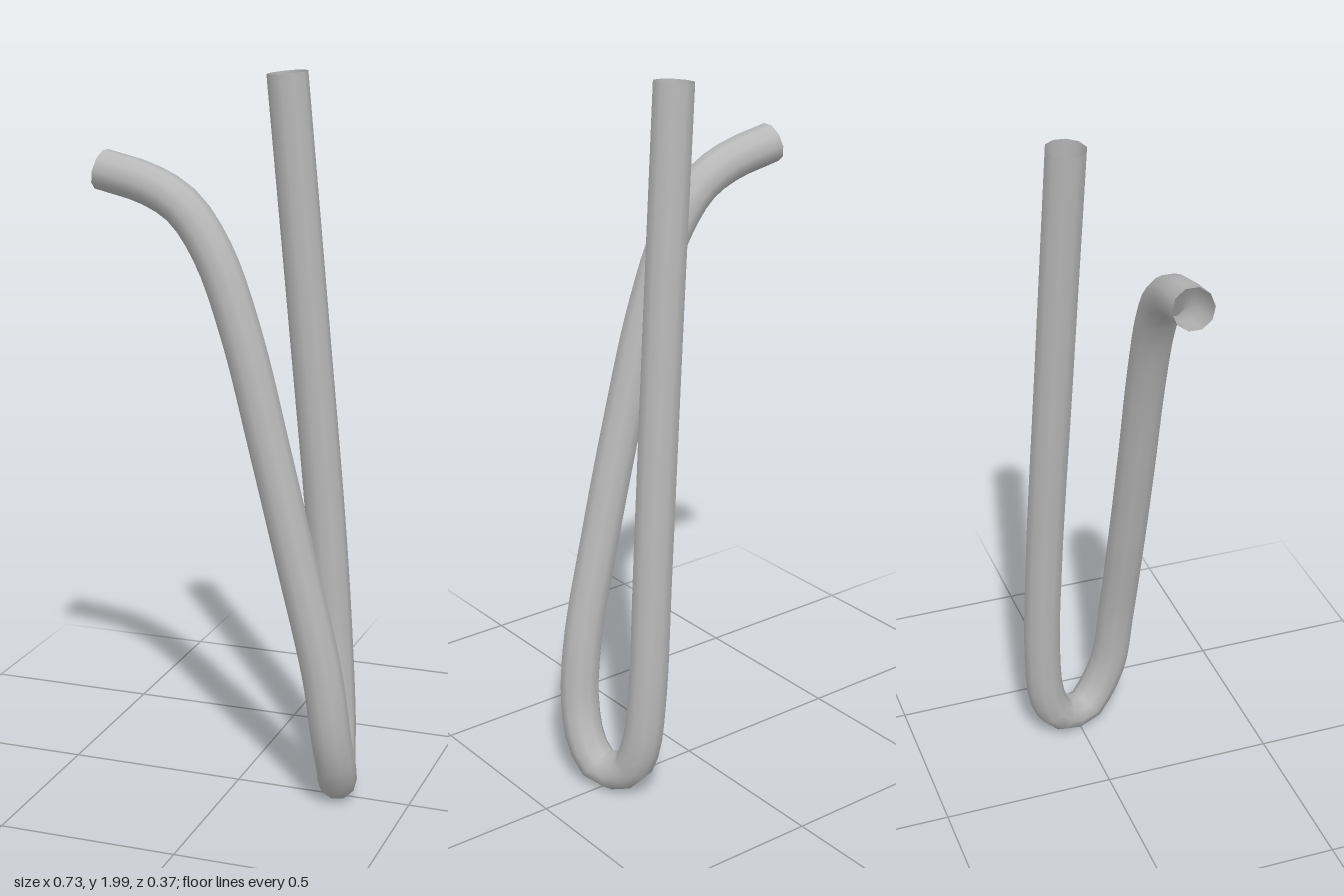
import * as THREE from 'three';

export function createModel() {
  const model = new THREE.Group();
  model.name = 'bentPipe';

  const greyMetal = new THREE.MeshStandardMaterial({ color: 0xb8b8b8, side: THREE.DoubleSide });
  greyMetal.name = 'grey metal';

  // centre line: hooked front end, down the front arm, round the bend, up the back arm
  const path = [
    [-0.353, 1.743, 0.09], [-0.21, 1.708, 0.1], [-0.115, 1.655, 0.107],
    [-0.03, 1.54, 0.115], [0.05, 1.335, 0.122], [0.135, 1.02, 0.127],
    [0.205, 0.74, 0.127], [0.283, 0.41, 0.121], [0.306, 0.22, 0.105],
    [0.31, 0.115, 0.065], [0.298, 0.065, 0.02], [0.283, 0.067, -0.025],
    [0.265, 0.095, -0.075], [0.255, 0.17, -0.11], [0.242, 0.34, -0.126],
    [0.218, 0.7, -0.122], [0.165, 1.33, -0.1], [0.107, 1.995, -0.077],
  ].map((p) => new THREE.Vector3(...p));
  const curve = new THREE.CatmullRomCurve3(path, false, 'centripetal');
  curve.arcLengthDivisions = 600;

  // open-ended tube
  const pipe = new THREE.Mesh(new THREE.TubeGeometry(curve, 80, 0.055, 10, false), greyMetal);
  pipe.name = 'pipe';
  model.add(pipe);
  return model;
}
